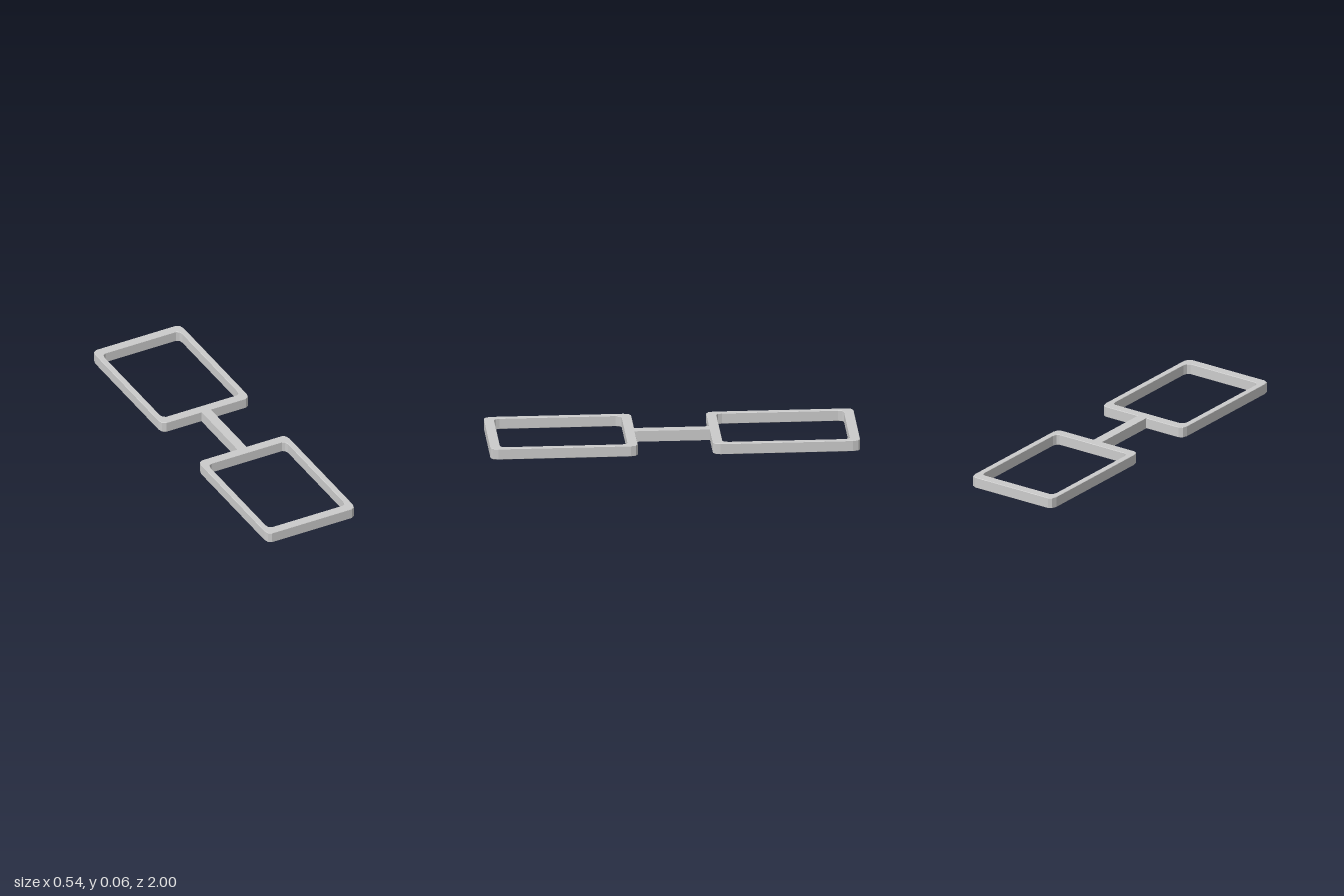
import * as THREE from 'three';

const HEIGHT = 0.06;
const BEVEL = 0.002;

// Rectangle outline with two-facet corners, rx and rz being the corner insets
function outline(halfW, halfL, rx, rz, Type) {
  const points = [];
  for (let corner = 0; corner < 4; corner++) {
    const sx = corner === 0 || corner === 3 ? 1 : -1;
    const sz = corner < 2 ? 1 : -1;
    for (let i = 0; i <= 2; i++) {
      const a = (corner + i / 2) * Math.PI / 2;
      points.push(new THREE.Vector2(
        sx * (halfW - rx) + rx * Math.cos(a),
        sz * (halfL - rz) + rz * Math.sin(a)));
    }
  }
  return new Type(points);
}

export function createModel() {
  const group = new THREE.Group();
  const material = new THREE.MeshStandardMaterial({ color: 0xcccccc, flatShading: true });

  // Open rectangular frame with a fine bevel on its rims
  const shape = outline(0.271, 0.3985, 0.027, 0.04, THREE.Shape);
  shape.holes.push(outline(0.238, 0.345, 0.022, 0.032, THREE.Path));
  const frameGeometry = new THREE.ExtrudeGeometry(shape, {
    depth: HEIGHT - 2 * BEVEL,
    bevelEnabled: true,
    bevelThickness: BEVEL,
    bevelSize: BEVEL,
    bevelOffset: -BEVEL,
    bevelSegments: 1,
  });
  frameGeometry.rotateX(-Math.PI / 2).translate(0, BEVEL, 0);

  for (const [name, side] of [['frontFrame', 1], ['backFrame', -1]]) {
    const frame = new THREE.Mesh(frameGeometry, material);
    frame.name = name;
    frame.position.z = side * 0.6015;
    group.add(frame);
  }

  // Straight bar joining the two frames
  const bar = new THREE.Mesh(new THREE.BoxGeometry(0.056, HEIGHT, 0.41), material);
  bar.name = 'connectingBar';
  bar.position.y = HEIGHT / 2;
  group.add(bar);

  return group;
}
